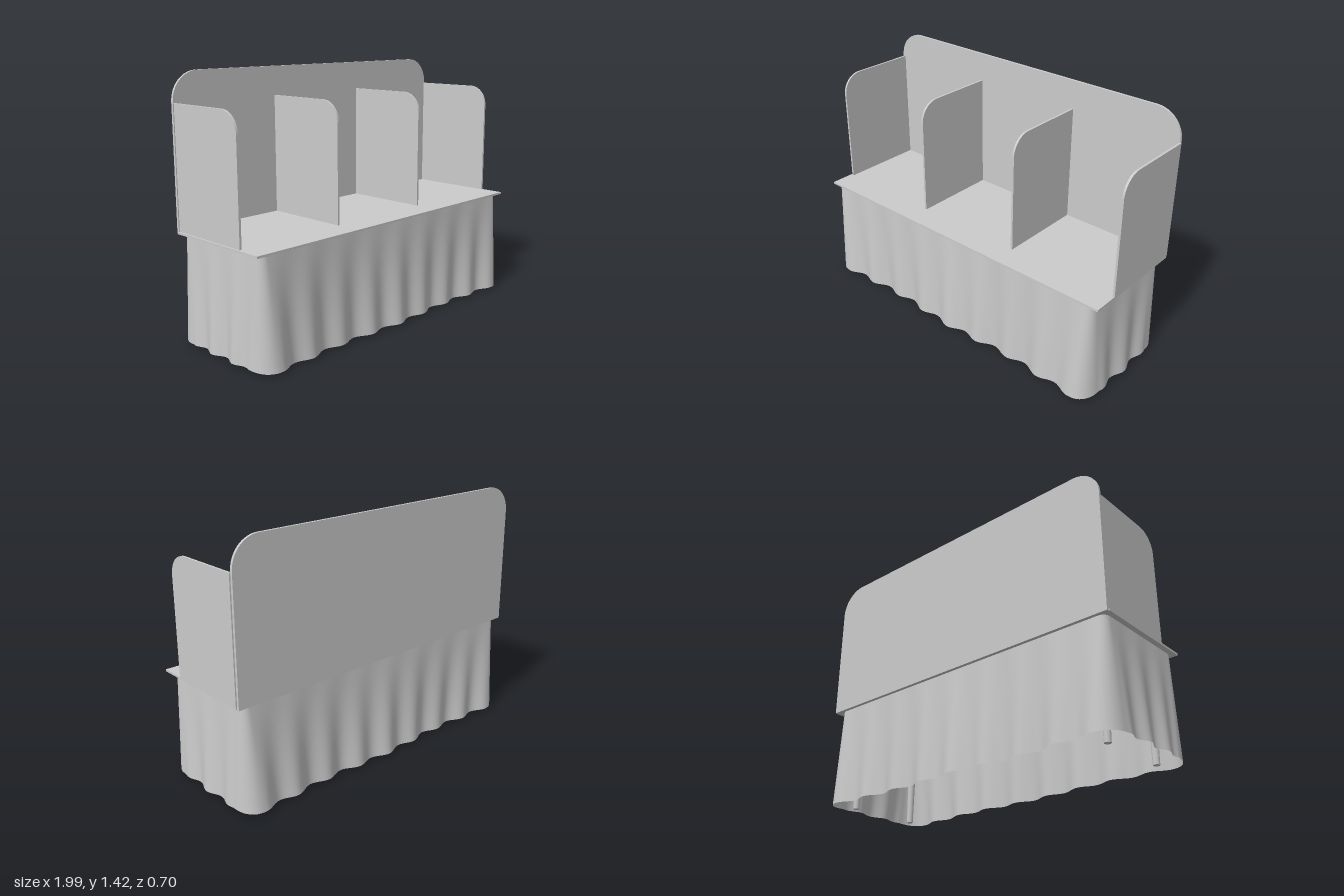
import * as THREE from 'three';

const material = new THREE.MeshStandardMaterial({ color: 0xcccccc });
const clothMaterial = new THREE.MeshStandardMaterial({ color: 0xcccccc, side: THREE.DoubleSide });
const CX = 0.005; // centre of the top and panels

function add(group, name, geometry, x = 0, y = 0, z = 0, mat = material) {
  const mesh = new THREE.Mesh(geometry, mat);
  mesh.name = name;
  mesh.position.set(x, y, z);
  group.add(mesh);
  return mesh;
}

// Upright board: square bottom, chosen top corners rounded
function board(x0, x1, height, rLeft, rRight, depth) {
  const s = new THREE.Shape();
  s.moveTo(x0, 0);
  s.lineTo(x1, 0);
  s.lineTo(x1, height - rRight);
  if (rRight) s.absarc(x1 - rRight, height - rRight, rRight, 0, Math.PI / 2);
  s.lineTo(x0 + rLeft, height);
  if (rLeft) s.absarc(x0 + rLeft, height - rLeft, rLeft, Math.PI / 2, Math.PI);
  s.lineTo(x0, 0);
  return new THREE.ExtrudeGeometry(s, { depth, bevelEnabled: false, curveSegments: 8 });
}

// Fold depth along the long and short sides of the cloth
const longFold = x => 0.017 * Math.cos(2 * Math.PI * x / 0.2175) + 0.01 * Math.cos(2 * Math.PI * x / 0.87);
function shortFold(side, z) {
  const fade = 1 - Math.pow(Math.min(1, Math.abs(z) / 0.23), 4);
  const wave = side > 0 ? Math.cos(2 * Math.PI * z / 0.2) : Math.cos(2 * Math.PI * (z - 0.12) / 0.17);
  return 0.015 * wave * fade;
}

// One closed cross-section of the cloth, t = 0 at the top and 1 at the hem
function clothRing(t) {
  const hx = THREE.MathUtils.lerp(0.955, 0.98, t);
  const hz = THREE.MathUtils.lerp(0.308, 0.325, t);
  const r = THREE.MathUtils.lerp(0.04, 0.1, t);
  const ax = hx - r, az = hz - r;
  const points = [];
  const put = (x, z, nx, nz, fold) => {
    const hem = 0.02 - 0.008 * Math.abs(nz);
    points.push(x + nx * fold * t, THREE.MathUtils.lerp(0.596, hem, t), z + nz * fold * t);
  };
  const corner = (sx, sz, start) => {
    for (let i = 0; i < 10; i++) {
      const a = start + (i / 10) * Math.PI / 2;
      const c = Math.cos(a), s = Math.sin(a);
      const fold = s * s * longFold(0.88) + c * c * shortFold(sx, 0.225 * sz);
      put(sx * ax + r * c, sz * az + r * s, c, s, fold);
    }
  };
  const long = sz => {
    for (let i = 0; i < 100; i++) {
      const k = sz * (1 - 2 * i / 100);
      put(k * ax, sz * hz, 0, sz, longFold(k * 0.88));
    }
  };
  const short = sx => {
    for (let i = 0; i < 32; i++) {
      const k = sx * (-1 + 2 * i / 32);
      put(sx * hx, k * az, sx, 0, shortFold(sx, k * 0.225));
    }
  };
  short(1);
  corner(1, 1, 0);
  long(1);
  corner(-1, 1, Math.PI / 2);
  short(-1);
  corner(-1, -1, Math.PI);
  long(-1);
  corner(1, -1, Math.PI * 1.5);
  return points;
}

function clothGeometry() {
  const rows = 12, positions = [], index = [];
  for (let j = 0; j <= rows; j++) positions.push(...clothRing(j / rows));
  const n = positions.length / 3 / (rows + 1);
  for (let j = 0; j < rows; j++) {
    for (let i = 0; i < n; i++) {
      const a = j * n + i, b = j * n + (i + 1) % n;
      index.push(a, b, a + n, b, b + n, a + n);
    }
  }
  const g = new THREE.BufferGeometry();
  g.setAttribute('position', new THREE.Float32BufferAttribute(positions, 3));
  g.setIndex(index);
  g.computeVertexNormals();
  return g;
}

export function createModel() {
  const group = new THREE.Group();
  group.name = 'dividedTable';

  // Table top and back panel
  add(group, 'tableTop', new THREE.BoxGeometry(1.98, 0.012, 0.635), CX, 0.601, 0.0035);
  add(group, 'backPanel', board(-0.985, 0.985, 0.83, 0.155, 0.155, 0.014), CX, 0.595, -0.328);

  // Four dividers, rounded at the upper front corner
  for (let i = 0; i < 4; i++) {
    const divider = add(group, 'divider', board(-0.18, 0.314, 0.658, 0.115, 0, 0.012),
      CX - 0.98 + i * 0.6533 + 0.006, 0.607, 0);
    divider.rotation.y = Math.PI / 2;
    divider.position.x -= 0.006;
  }

  // Draped cloth
  add(group, 'tableCloth', clothGeometry(), 0, 0, 0, clothMaterial);

  // Tapered legs
  for (const x of [-0.866, 0.866]) {
    for (const z of [-0.215, 0.21]) {
      add(group, 'leg', new THREE.CylinderGeometry(0.026, 0.018, 0.596, 16), x, 0.298, z);
    }
  }
  return group;
}
